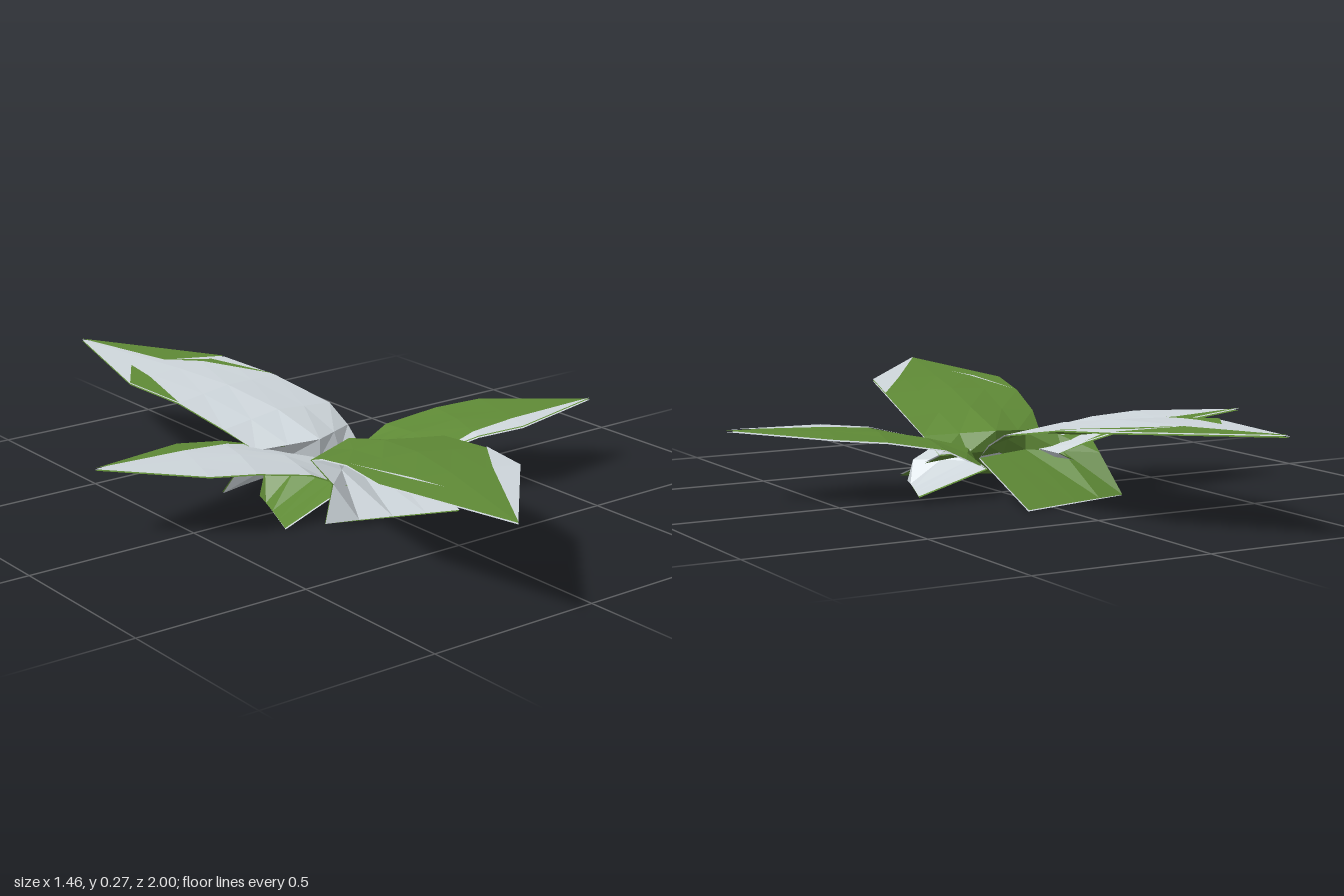
import * as THREE from 'three';

const green = new THREE.MeshStandardMaterial({ color: 0x5f8a36, flatShading: true, side: THREE.DoubleSide });
green.name = 'leaf green';
const silver = new THREE.MeshStandardMaterial({ color: 0xced6db, flatShading: true, side: THREE.DoubleSide });
silver.name = 'silver leaf';

// Shared leaf profile: foot on the ground, in to the waist, out to the tip.
// [distance out, height, half width, skew, arch of the middle, inward pull of the middle]
const profile = [
  [0.255, 0, 0.175, 1.3, 0, 0],
  [0.1, 0.11, 0.17, -1.2, 0.005, 0.08],
  [0.1, 0.155, 0.172, 0.5, 0.015, 0.08],
  [0.2, 0.195, 0.193, 0.4, 0.02, 0],
  [0.4, 0.233, 0.19, 1, 0.012, 0],
  [0.6, 0.249, 0.187, 1, 0.006, 0],
  [1, 0.267, 0, 0, 0, 0],
];
const tip = profile.length - 1;
const columns = 4;
const thickness = 0.004;

// Margin triangles as [section, position across]
const frontMargin = [
  [[4, 0], [5, 0], [5, 0.2]], [[5, 0], [6, 0], [5, 0.2]],
  [[4, 0.98], [5, 0.8], [5, 0.77]], [[5, 0.8], [5, 0.77], [5.25, 0.7]],
];
const backMargin = [
  [[5, 1], [6, 1], [5.2, 0.58]],
  [[4, 1], [5, 0.86], [5, 0.76]], [[5, 0.86], [5, 0.76], [5.2, 0.58]],
  [[4, 0], [5, 0], [5, 0.2]], [[5, 0], [5.28, 0.22], [5, 0.2]],
];
const sideMargin = [
  [[3, 1], [4, 1], [4, 0.88]], [[4, 1], [5, 1], [4, 0.88]],
  [[5, 1], [5, 0.76], [4, 0.88]], [[5, 1], [6, 1], [5, 0.76]],
];

// turn: quarter turns from the front; root, length: start and end along the leaf;
// shift, sweep: sideways start and bend; skew: slant of the sections; foot: foot height
const leaves = [
  { name: 'frontLeaf', turn: 0, root: 0, length: 1, size: 1, shift: 0.02, sweep: -0.27,
    skew: 0.055, foot: 0.012, top: green, under: silver, margin: frontMargin },
  { name: 'leftLeaf', turn: 1, root: 0.07, length: 0.73, size: 0.74, shift: -0.04, sweep: -0.18,
    skew: 0.04, foot: 0.018, top: green, under: silver, margin: sideMargin },
  { name: 'backLeaf', turn: 2, root: 0, length: 1, size: 1, shift: 0.055, sweep: 0.175,
    skew: -0.033, foot: 0, top: silver, under: green, margin: backMargin },
  { name: 'rightLeaf', turn: 3, root: 0.07, length: 0.73, size: 0.74, shift: 0.02, sweep: -0.13,
    skew: 0.04, foot: 0, top: silver, under: green, margin: sideMargin },
];

// Point on a leaf that grows along +z, s along the sections and t across
function leafPoint(leaf, s, t) {
  const at = (i) => {
    const [out, height, half, skew, arch, pull] = profile[i];
    const across = 1 - 2 * t;
    const middle = 1 - Math.abs(across);
    return new THREE.Vector3(
      leaf.shift + leaf.sweep * out ** 1.3 + across * half * leaf.size,
      (height + arch * middle) * leaf.size + (i === 0 ? leaf.foot : 0),
      leaf.root + out * (leaf.length - leaf.root) + across * skew * leaf.skew - pull * middle * leaf.size);
  };
  const i = Math.min(Math.floor(s), tip - 1);
  return at(i).lerp(at(i + 1), s - i);
}

// The same point moved off the leaf towards its upper side
function raisedPoint(leaf, s, t, distance) {
  const step = 0.05;
  const near = Math.min(s, tip - step);
  const across = leafPoint(leaf, near, t + step).sub(leafPoint(leaf, near, t - step));
  const along = leafPoint(leaf, near + step, t).sub(leafPoint(leaf, Math.max(near - step, 0), t));
  return leafPoint(leaf, s, t).addScaledVector(across.cross(along).normalize(), distance);
}

function mesh(name, leaf, triangles, distance, material) {
  const points = triangles.flat().map(([s, t]) => raisedPoint(leaf, s, t, distance));
  const geometry = new THREE.BufferGeometry().setFromPoints(points);
  geometry.computeVertexNormals();
  const part = new THREE.Mesh(geometry, material);
  part.name = name;
  return part;
}

// Blade triangles as [section, position across]; the last row closes to a point
const blade = [];
for (let s = 0; s < tip; s++) {
  for (let c = 0; c < columns; c++) {
    const t0 = c / columns, t1 = (c + 1) / columns;
    blade.push([[s, t0], [s, t1], [s + 1, t1]]);
    if (s < tip - 1) blade.push([[s, t0], [s + 1, t1], [s + 1, t0]]);
  }
}

function buildLeaf(leaf) {
  const group = new THREE.Group();
  group.name = leaf.name;
  group.rotation.y = leaf.turn * Math.PI / 2;
  group.add(mesh('leafTop', leaf, blade, 0, leaf.top));
  group.add(mesh('leafUnderside', leaf, blade, -thickness, leaf.under));
  group.add(mesh('leafMargin', leaf, leaf.margin, 0.003, leaf.under));
  return group;
}

export function createModel() {
  const model = new THREE.Group();
  model.name = 'leafRosette';
  for (const leaf of leaves) model.add(buildLeaf(leaf));
  return model;
}
